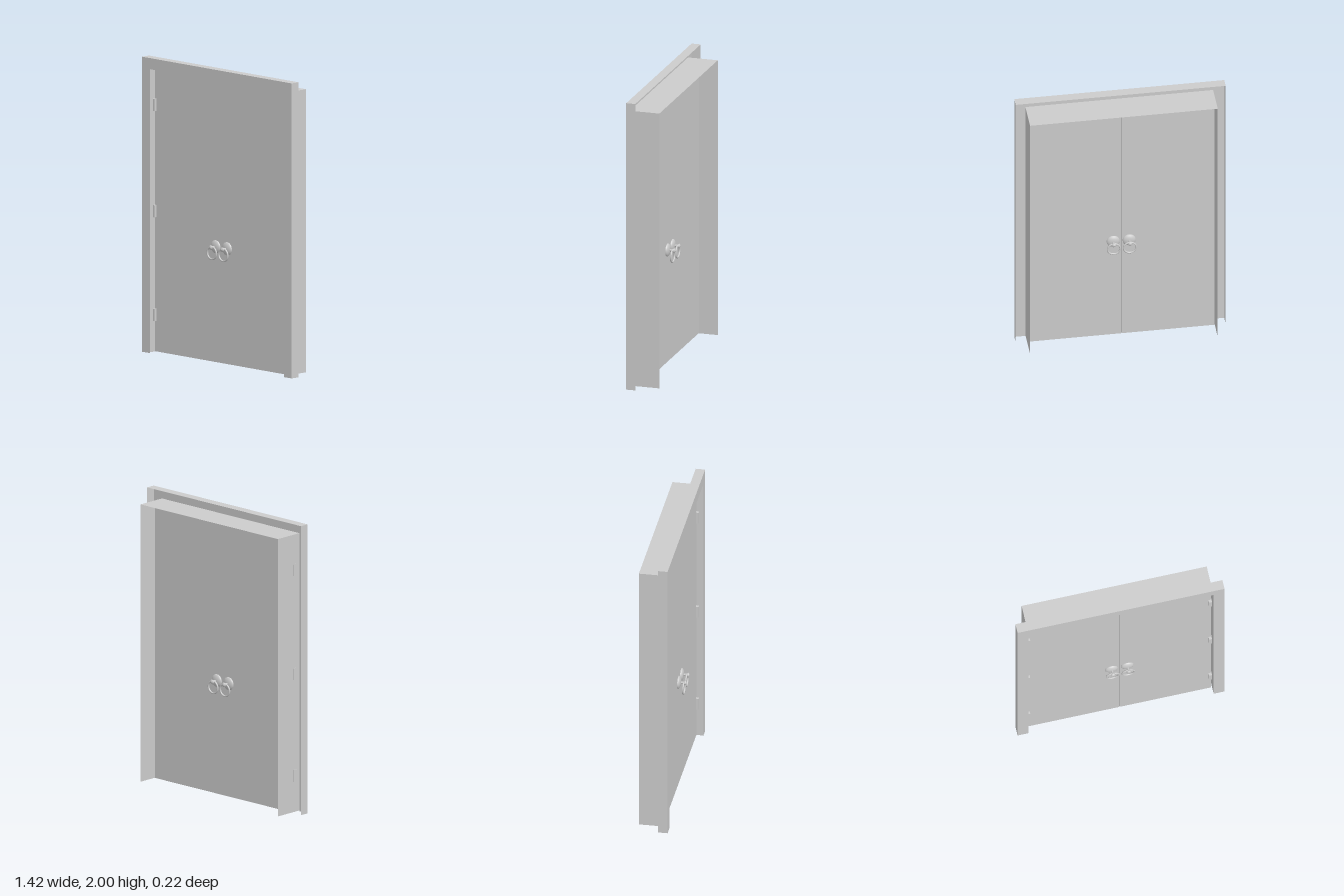
import * as THREE from 'three';

const grey = new THREE.MeshStandardMaterial({ color: 0xcccccc });
const sheet = new THREE.MeshStandardMaterial({ color: 0xcccccc, side: THREE.DoubleSide });

function add(parent, name, geometry, material = grey, x = 0, y = 0, z = 0) {
  const mesh = new THREE.Mesh(geometry, material);
  mesh.name = name;
  mesh.position.set(x, y, z);
  parent.add(mesh);
  return mesh;
}

// Thin wall following an upside-down U (two sides and a top), from z0 to z1
function archWall(halfWidth, bottom, top, z0, z1) {
  const path = [[-halfWidth, bottom], [-halfWidth, top], [halfWidth, top], [halfWidth, bottom]];
  const positions = [];
  for (let i = 0; i < 3; i++) {
    const [ax, ay] = path[i], [bx, by] = path[i + 1];
    positions.push(ax, ay, z0, ax, ay, z1, bx, by, z1, ax, ay, z0, bx, by, z1, bx, by, z0);
  }
  const geometry = new THREE.BufferGeometry();
  geometry.setAttribute('position', new THREE.Float32BufferAttribute(positions, 3));
  geometry.computeVertexNormals();
  return geometry;
}

// Round plate, knob on a stem and hanging ring, facing +z from the door surface
function createHandle() {
  const handle = new THREE.Group();
  handle.name = 'handle';
  const plate = [[0.044, 0], [0.044, 0.005], [0.038, 0.011], [0.026, 0.016], [0.012, 0.019], [0, 0.019]];
  const knob = [[0.008, 0.017], [0.008, 0.038], [0.014, 0.043], [0.016, 0.048], [0.011, 0.054], [0, 0.057]];
  for (const [name, profile] of [['handlePlate', plate], ['handleKnob', knob]]) {
    const points = profile.map(([r, h]) => new THREE.Vector2(r, h));
    add(handle, name, new THREE.LatheGeometry(points, 28)).rotation.x = Math.PI / 2;
  }
  add(handle, 'handleRing', new THREE.TorusGeometry(0.042, 0.006, 10, 36), grey, 0, -0.038, 0.038);
  return handle;
}

export function createModel() {
  const model = new THREE.Group();
  model.name = 'doubleDoor';
  const outer = 0.708, inner = 0.633, head = 1.925;
  const trimBack = 0.034, trimFront = 0.098;
  const doorBack = 0.022, doorFront = 0.053, doorMid = (doorBack + doorFront) / 2;

  // Casing: a front face and an outer wall, open at the back
  const face = new THREE.Shape([
    [-outer, 0], [-inner, 0], [-inner, head], [inner, head],
    [inner, 0], [outer, 0], [outer, 2], [-outer, 2],
  ].map(([x, y]) => new THREE.Vector2(x, y)));
  add(model, 'casingFace', new THREE.ShapeGeometry(face), sheet, 0, 0, trimFront);
  add(model, 'casingWall', archWall(outer, 0, 2, trimBack, trimFront), sheet);

  // Deep jamb lining the opening
  add(model, 'jamb', archWall(inner, 0.006, head, -0.11, trimFront), sheet);

  for (const side of [-1, 1]) {
    // Door leaf
    const leaf = new THREE.BoxGeometry(0.627, 1.906, doorFront - doorBack);
    add(model, side > 0 ? 'leftDoor' : 'rightDoor', leaf, grey, side * 0.3145 - 0.002, 0.961, doorMid);

    // Hinges, standing slightly proud of the leaf
    for (const y of [0.256, 0.96, 1.68]) {
      add(model, 'hinge', new THREE.BoxGeometry(0.021, 0.082, 0.03), grey, side * 0.622 - 0.0035, y, 0.057);
    }

    // Handles on both faces
    for (const dir of [-1, 1]) {
      const handle = createHandle();
      handle.position.set(side * 0.054 - 0.001, 0.79, dir > 0 ? doorFront : doorBack);
      if (dir < 0) handle.rotation.y = Math.PI;
      model.add(handle);
    }
  }
  return model;
}
